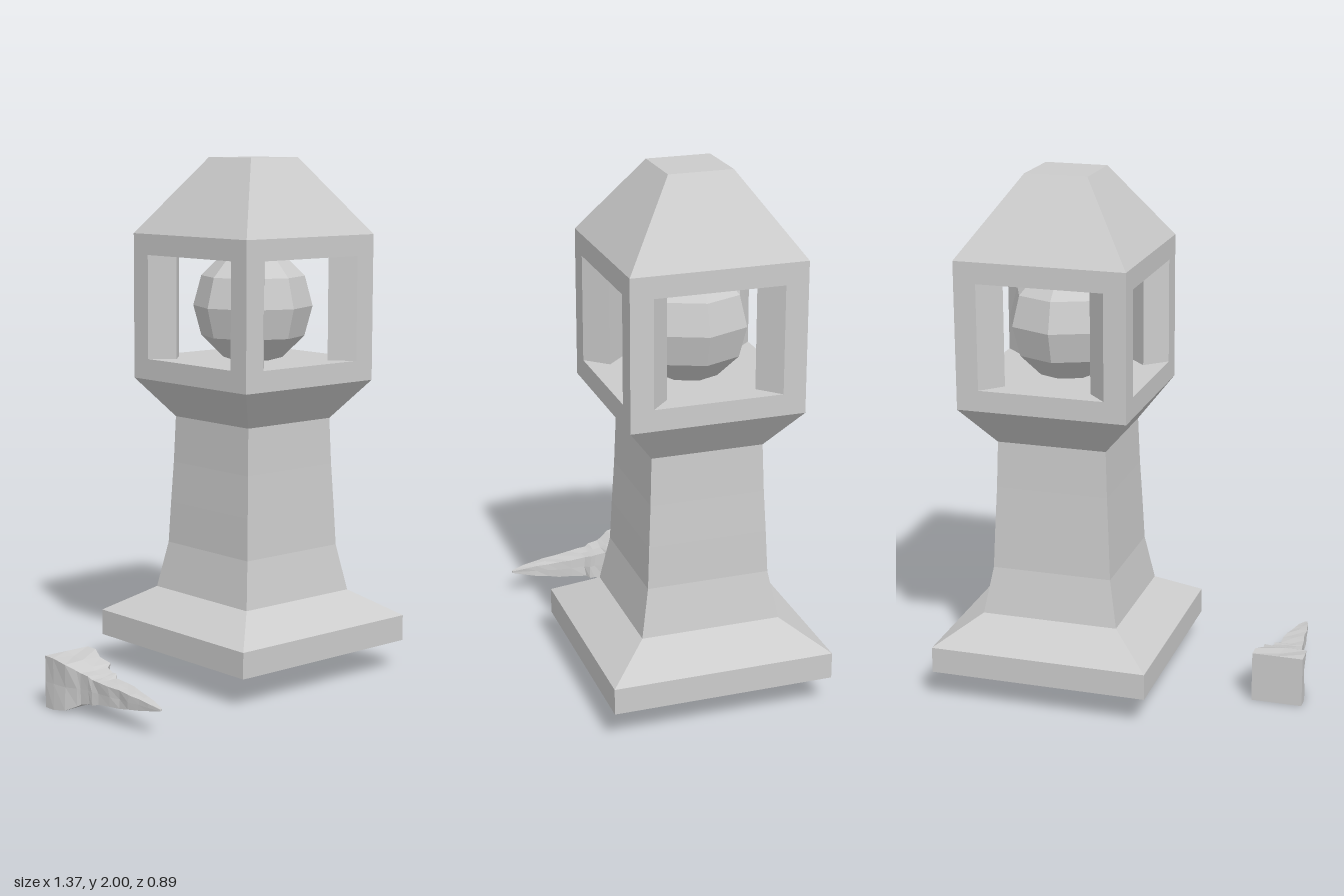
import * as THREE from 'three';

const mat = new THREE.MeshStandardMaterial({ color: 0xcccccc, flatShading: true });

function add(parent, name, geometry) {
  const mesh = new THREE.Mesh(geometry, mat);
  mesh.name = name;
  parent.add(mesh);
  return mesh;
}

// Square stack from [half width, height] pairs, listed bottom to top
function squareLoft(profile) {
  const points = profile.map(([h, y]) => new THREE.Vector2(h * Math.SQRT2, y));
  const g = new THREE.LatheGeometry(points, 4, Math.PI / 4).toNonIndexed();
  g.computeVertexNormals();
  return g;
}

// Jagged spike along +z from [z, left, right, bottom, top] rings, eight points each
function spikeGeometry(rings) {
  let seed = 7;
  const rand = () => (seed = (seed * 16807) % 2147483647) / 2147483647 - 0.5;
  const around = [[1, -1], [1, 0], [1, 1], [0, 1], [-1, 1], [-1, 0], [-1, -1], [0, -1]];
  const pos = [], idx = [], n = around.length;
  rings.forEach(([z, l, r, b, t], k) => {
    const rough = k === 0 || k === rings.length - 1 ? 0 : 0.12;
    for (const [u, v] of around) {
      const s = 1 + rand() * rough;
      pos.push((l + r) / 2 + (u * s * (r - l)) / 2, (b + t) / 2 + (v * s * (t - b)) / 2,
        z + rand() * rough * 0.1);
    }
  });
  for (let k = 0; k < rings.length - 1; k++) {
    for (let i = 0; i < n; i++) {
      const a = k * n + i, b = k * n + (i + 1) % n;
      idx.push(a, b, b + n, a, b + n, a + n);
    }
  }
  const last = (rings.length - 1) * n;
  for (let i = 1; i < n - 1; i++) {
    idx.push(0, i + 1, i, last, last + i, last + i + 1);
  }
  const g = new THREE.BufferGeometry();
  g.setAttribute('position', new THREE.Float32BufferAttribute(pos, 3));
  g.setIndex(idx);
  const flat = g.toNonIndexed();
  flat.computeVertexNormals();
  return flat;
}

export function createModel() {
  const model = new THREE.Group();
  model.name = 'stoneLantern';

  const lantern = new THREE.Group();
  lantern.name = 'lantern';
  lantern.position.set(0.26, 0, -0.025);
  model.add(lantern);

  // Plinth, tapering column and flared floor of the lamp house
  add(lantern, 'pedestal', squareLoft([
    [0, 0.12], [0.42, 0.12], [0.42, 0.22], [0.265, 0.32], [0.232, 0.5],
    [0.225, 0.66], [0.217, 0.82], [0.211, 1.0], [0.325, 1.15], [0.325, 1.23], [0, 1.23],
  ]));

  // Corner posts with splayed window jambs
  const section = new THREE.Shape([
    [0.325, 0.325], [0.24, 0.325], [0.165, 0.245], [0.245, 0.165], [0.325, 0.24],
  ].map(([x, y]) => new THREE.Vector2(x, y)));
  const post = new THREE.ExtrudeGeometry(section, { depth: 0.4, bevelEnabled: false });
  post.rotateX(-Math.PI / 2);
  for (let i = 0; i < 4; i++) {
    const mesh = add(lantern, 'cornerPost', post);
    mesh.position.y = 1.23;
    mesh.rotation.y = (i * Math.PI) / 2;
  }

  // Lintel and truncated pyramid roof
  add(lantern, 'roof', squareLoft([
    [0, 1.63], [0.325, 1.63], [0.325, 1.71], [0.12, 2], [0, 2],
  ]));

  // Faceted lamp inside the house
  add(lantern, 'lampGlobe', new THREE.SphereGeometry(0.23, 8, 6)).position.y = 1.435;

  // Loose rough spike lying beside the lantern
  add(model, 'stoneSpike', spikeGeometry([
    [-0.105, -0.685, -0.49, 0.005, 0.2],
    [-0.06, -0.68, -0.495, 0.01, 0.195],
    [0.0, -0.675, -0.51, 0.015, 0.185],
    [0.045, -0.655, -0.505, 0.035, 0.17],
    [0.06, -0.645, -0.525, 0.045, 0.16],
    [0.1, -0.64, -0.53, 0.055, 0.155],
    [0.12, -0.64, -0.53, 0.055, 0.15],
    [0.14, -0.635, -0.545, 0.06, 0.145],
    [0.2, -0.63, -0.542, 0.065, 0.14],
    [0.25, -0.618, -0.55, 0.07, 0.135],
    [0.3, -0.618, -0.556, 0.077, 0.13],
    [0.35, -0.61, -0.565, 0.083, 0.125],
    [0.39, -0.605, -0.57, 0.09, 0.118],
    [0.445, -0.592, -0.584, 0.1, 0.107],
  ]));

  return model;
}
